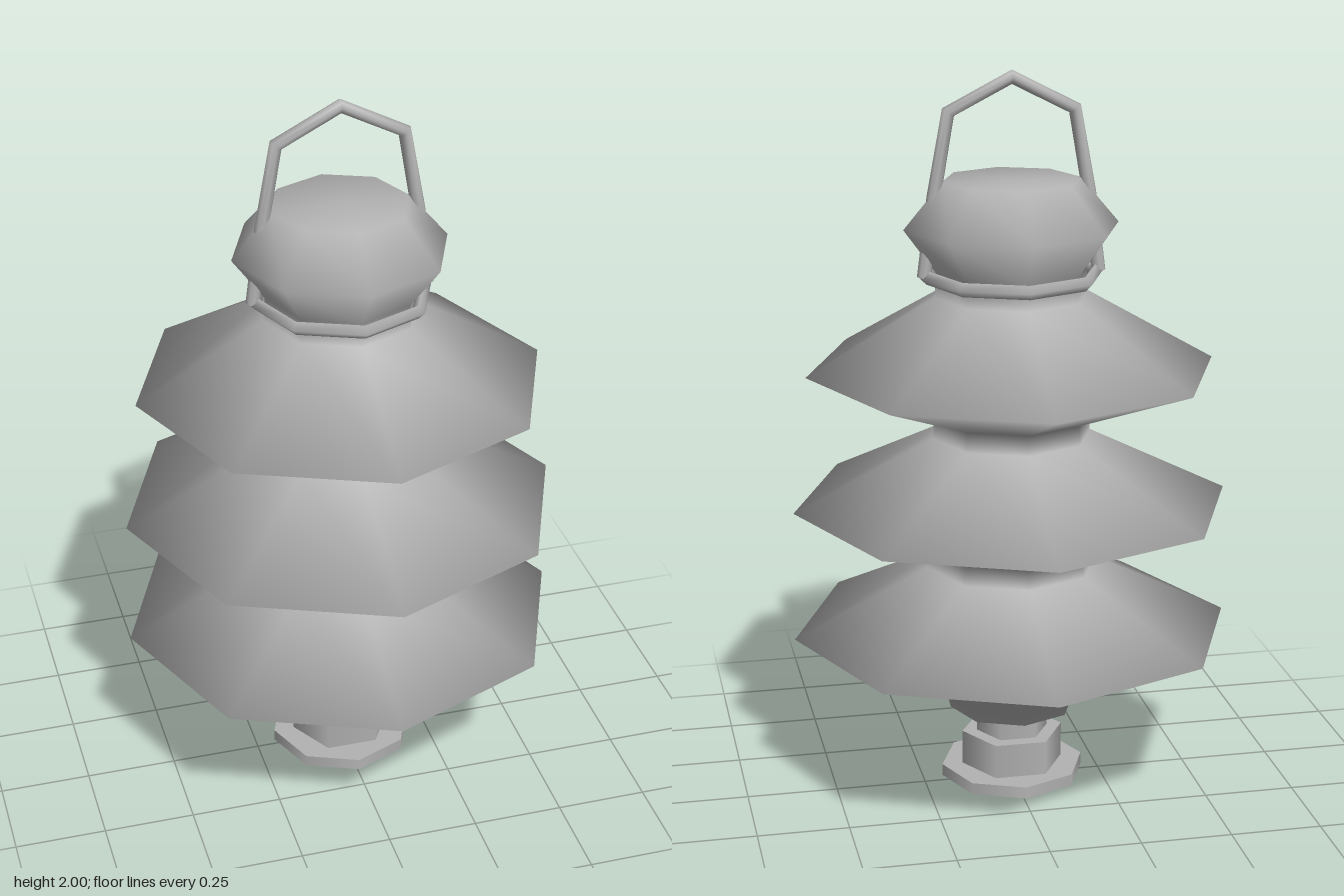
import * as THREE from 'three';

// Straight-sided path whose samples land exactly on its corners
class Polyline extends THREE.Curve {
  constructor(points) { super(); this.points = points; }
  getPoint(t, target = new THREE.Vector3()) {
    const s = t * (this.points.length - 1);
    const i = Math.min(Math.floor(s), this.points.length - 2);
    return target.lerpVectors(this.points[i], this.points[i + 1], s - i);
  }
  getPointAt(u, target) { return this.getPoint(u, target); }
  getTangentAt(u, target) { return this.getTangent(u, target); }
}

export function createModel() {
  const model = new THREE.Group();
  const grey = new THREE.MeshStandardMaterial({ color: 0xb2b2b2 });
  grey.name = 'grey';

  const add = (name, geometry) => {
    const mesh = new THREE.Mesh(geometry, grey);
    mesh.name = name;
    model.add(mesh);
    return mesh;
  };

  // Eight-sided body with three sheds and a cap, shaded smoothly throughout
  const profile = [
    [0, 0.222], [0.175, 0.222], [0.218, 0.39],
    [0.607, 0.457], [0.235, 0.64], [0.22, 0.695],
    [0.602, 0.82], [0.218, 1.01], [0.215, 1.065],
    [0.56, 1.197], [0.21, 1.4], [0.205, 1.465],
    [0.292, 1.585], [0.187, 1.71], [0, 1.71],
  ];
  add('insulatorBody', new THREE.LatheGeometry(profile.map(([r, y]) => new THREE.Vector2(r, y)), 8));

  // Foot: pin, nut and washer, with smooth sides and flat ends
  const prism = (name, radius, y0, y1, sides) => {
    const geometry = new THREE.CylinderGeometry(radius, radius, y1 - y0, sides).rotateY(Math.PI / 2);
    add(name, geometry).position.y = (y0 + y1) / 2;
  };
  prism('pin', 0.1, 0, 0.23, 6);
  prism('nut', 0.142, 0.045, 0.145, 6);
  prism('washer', 0.2, 0.015, 0.048, 8);

  // Wire collar around the neck
  add('neckRing', new THREE.TorusGeometry(0.232, 0.019, 4, 8).rotateX(Math.PI / 2)).position.y = 1.455;

  // Bent wire handle, running through the cap down to the collar
  const side = [[0.238, 1.455], [0.21, 1.67], [0.17, 1.893]];
  const path = [
    ...side.map(([x, y]) => new THREE.Vector3(-x, y, 0)),
    new THREE.Vector3(0, 1.98, 0),
    ...side.reverse().map(([x, y]) => new THREE.Vector3(x, y, 0)),
  ];
  add('handle', new THREE.TubeGeometry(new Polyline(path), path.length - 1, 0.019, 8));

  return model;
}
